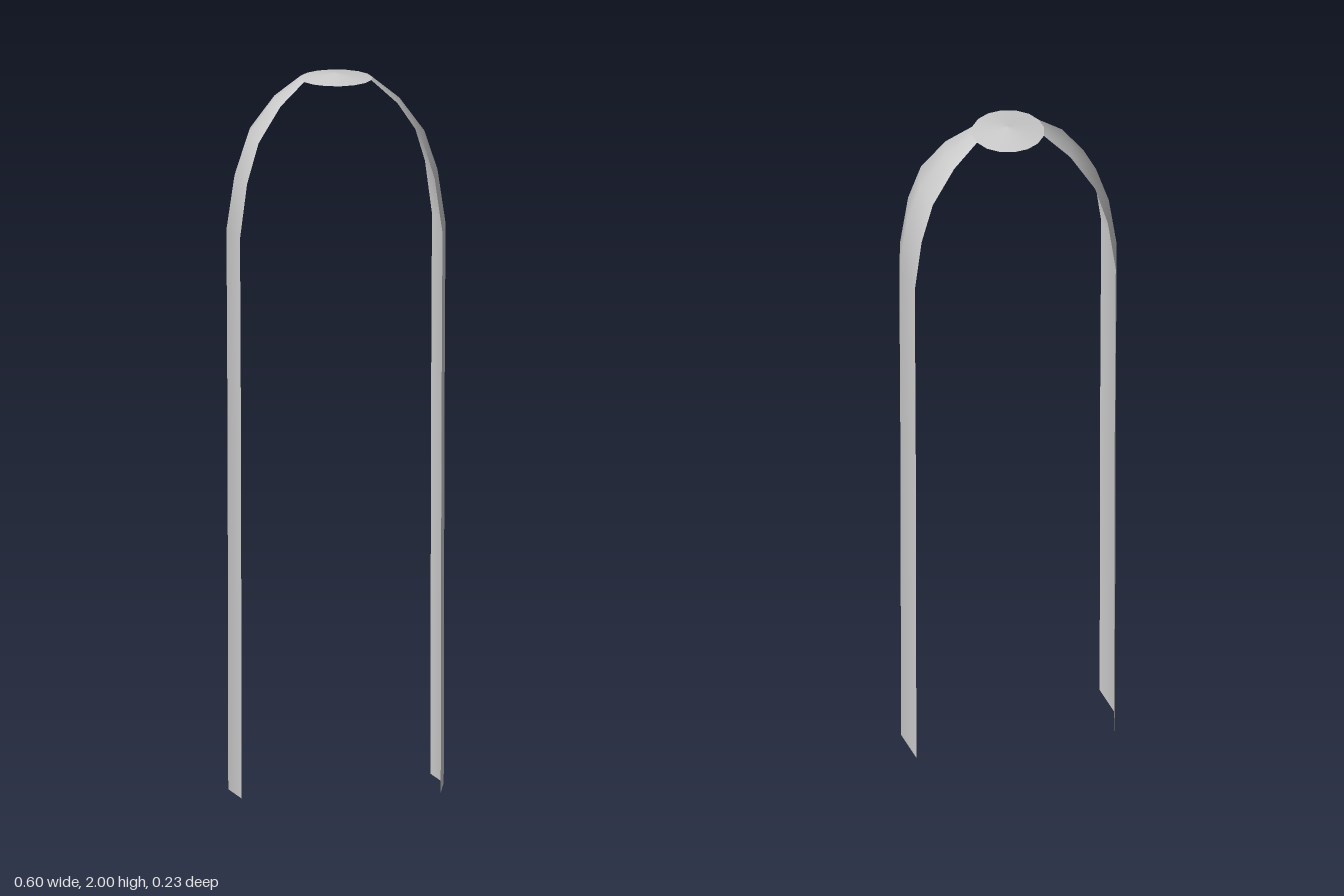
import * as THREE from 'three';

export function createModel() {
  const group = new THREE.Group();
  const material = new THREE.MeshStandardMaterial({ color: 0xcccccc, side: THREE.DoubleSide });

  // Shared radius/height profile, bottom to top
  const profile = [
    [0.296, 0], [0.298, 1], [0.301, 1.57], [0.279, 1.72],
    [0.243, 1.83], [0.174, 1.925], [0.1, 1.985], [0, 2],
  ].map(([r, y]) => new THREE.Vector2(r, y));

  const addLathe = (name, points, segments, start, length) => {
    const mesh = new THREE.Mesh(new THREE.LatheGeometry(points, segments, start, length), material);
    mesh.name = name;
    group.add(mesh);
  };

  // Two opposite curved strips, each two facets of a sixteen-sided dome
  const step = Math.PI / 8;
  addLathe('leftStrip', profile.slice(0, 7), 2, Math.PI / 2 - step, 2 * step);
  addLathe('rightStrip', profile.slice(0, 7), 2, -Math.PI / 2 - step, 2 * step);

  // Shallow round cap joining the strips
  addLathe('topCap', profile.slice(6), 16, 0, Math.PI * 2);

  return group;
}
